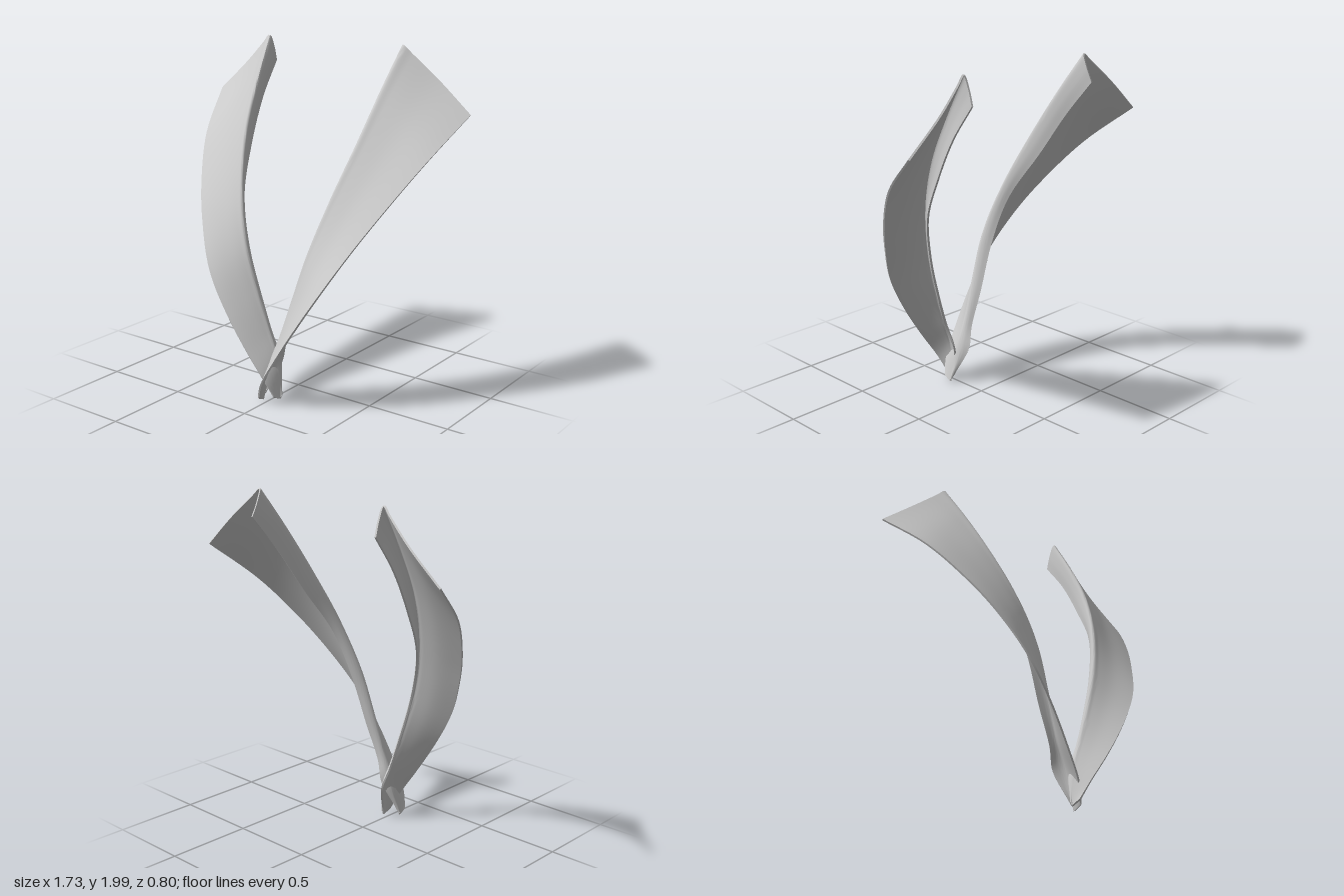
import * as THREE from 'three';
import { toCreasedNormals } from 'three/addons/utils/BufferGeometryUtils.js';

// Stations from shoulder end to crossed tip: outer edge, fold line, rear edge of the folded-back facing
const STATIONS = [
  [[0.865, 1.65, -0.375], [0.46, 2.0, -0.335], [0.46, 1.85, -0.395]],
  [[0.76, 1.42, -0.1], [0.428, 1.78, -0.185], [0.44, 1.65, -0.235]],
  [[0.64, 1.19, 0.09], [0.385, 1.5, -0.015], [0.4, 1.4, -0.075]],
  [[0.52, 0.97, 0.23], [0.31, 1.2, 0.125], [0.325, 1.13, 0.09]],
  [[0.385, 0.72, 0.35], [0.215, 0.88, 0.215], [0.235, 0.83, 0.165]],
  [[0.25, 0.5, 0.392], [0.135, 0.62, 0.24], [0.155, 0.58, 0.19]],
  [[0.12, 0.3, 0.392], [0.06, 0.4, 0.25], [0.075, 0.36, 0.21]],
  [[0.015, 0.14, 0.37], [0.0, 0.24, 0.26], [0.03, 0.23, 0.195]],
  [[-0.034, 0.035, 0.335], [-0.038, 0.012, 0.285], [-0.03, 0.05, 0.27]],
];
const ROWS = 48, COLS = 28, HALF_THICKNESS = 0.005;

// Smooth curve down the length for each of the three edges
const edges = [0, 1, 2].map((k) =>
  new THREE.CatmullRomCurve3(STATIONS.map((s) => new THREE.Vector3(...s[k]))));

// One cross-section: flat panel, rounded fold, short facing behind
function section(t) {
  const [outer, fold, back] = edges.map((c) => c.getPoint(t));
  const on = (a, b, f) => new THREE.Vector3().lerpVectors(a, b, f);
  const mid = on(outer, fold, 0.5), near = on(outer, fold, 0.87), turn = on(fold, back, 0.45);
  mid.z -= 0.018 * (1 - t);
  near.z -= 0.006 * (1 - t);
  turn.x -= 0.008;
  return new THREE.CatmullRomCurve3([outer, mid, near, fold, turn, back], false, 'centripetal');
}

// side = 1 for the left panel, -1 for its mirror, which tucks behind at the tip
function panelGeometry(side) {
  const grid = [];
  for (let i = 0; i <= ROWS; i++) {
    const curve = section(i / ROWS);
    for (let j = 0; j <= COLS; j++) {
      const p = curve.getPoint(j / COLS);
      p.z -= 0.06 * (1 - THREE.MathUtils.smoothstep(p.y, 0.2, 1.1)) * (side < 0 ? 1 : 0);
      p.x *= side;
      grid.push(p);
    }
  }
  const at = (i, j) => grid[THREE.MathUtils.clamp(i, 0, ROWS) * (COLS + 1) + THREE.MathUtils.clamp(j, 0, COLS)];

  // Front and back skins, offset along the surface normal
  const positions = [], index = [], n = grid.length;
  for (const sign of [1, -1]) {
    for (let i = 0; i <= ROWS; i++) for (let j = 0; j <= COLS; j++) {
      const along = at(i + 1, j).clone().sub(at(i - 1, j));
      const across = at(i, j + 1).clone().sub(at(i, j - 1));
      const normal = across.cross(along).normalize().multiplyScalar(side * sign * HALF_THICKNESS);
      positions.push(...at(i, j).clone().add(normal).toArray());
    }
  }
  const quad = (a, b, c, d) => {
    if (side > 0) index.push(a, b, c, a, c, d);
    else index.push(a, c, b, a, d, c);
  };
  const id = (i, j) => i * (COLS + 1) + j;
  for (let i = 0; i < ROWS; i++) for (let j = 0; j < COLS; j++) {
    const a = id(i, j), b = id(i, j + 1), c = id(i + 1, j + 1), d = id(i + 1, j);
    quad(a, b, c, d);
    quad(n + a, n + d, n + c, n + b);
  }
  // Rims closing the four edges
  const rim = (a, b) => quad(b, a, n + a, n + b);
  for (let j = 0; j < COLS; j++) {
    rim(id(0, j), id(0, j + 1));
    rim(id(ROWS, j + 1), id(ROWS, j));
  }
  for (let i = 0; i < ROWS; i++) {
    rim(id(i + 1, 0), id(i, 0));
    rim(id(i, COLS), id(i + 1, COLS));
  }
  const geometry = new THREE.BufferGeometry();
  geometry.setAttribute('position', new THREE.Float32BufferAttribute(positions, 3));
  geometry.setIndex(index);
  return toCreasedNormals(geometry, Math.PI / 4);
}

export function createModel() {
  const group = new THREE.Group();
  group.name = 'crossedCollar';
  const material = new THREE.MeshStandardMaterial({ color: 0xcccccc, side: THREE.DoubleSide });
  for (const [name, side] of [['leftLapel', 1], ['rightLapel', -1]]) {
    const mesh = new THREE.Mesh(panelGeometry(side), material);
    mesh.name = name;
    group.add(mesh);
  }
  return group;
}
